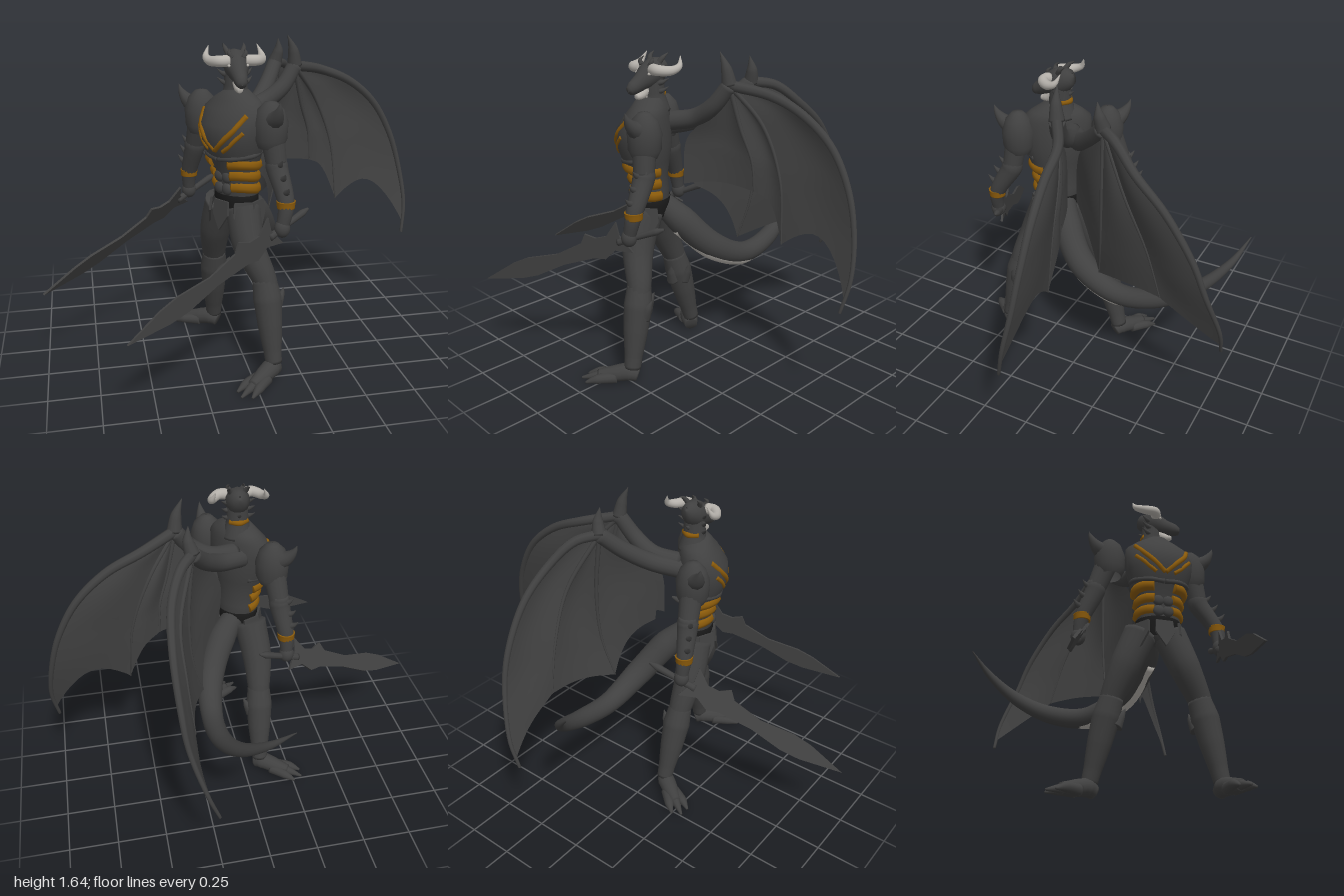
import * as THREE from 'three';

const mat = (name, color) => new THREE.MeshStandardMaterial({ name, color, side: THREE.DoubleSide });
const dark = mat('charcoal scale', 0x404040);
const black = mat('black cloth', 0x1c1c1c);
const gold = mat('dull gold', 0x8a5a0a);
const bone = mat('pale bone', 0xb4b0aa);
const V = (x, y, z) => new THREE.Vector3(x, y, z);

function add(parent, name, geo, m = dark) {
  const mesh = new THREE.Mesh(geo, m);
  mesh.name = name;
  parent.add(mesh);
  return mesh;
}

// Closed-ring skin over a list of cross-sections
function skin(rings, wrap = true) {
  const n = rings[0].length, pos = [], idx = [];
  rings.forEach(r => r.forEach(p => pos.push(p.x, p.y, p.z)));
  for (let i = 0; i < rings.length - 1; i++)
    for (let j = 0; j < (wrap ? n : n - 1); j++) {
      const a = i * n + j, b = i * n + (j + 1) % n;
      idx.push(a, b, b + n, a, b + n, a + n);
    }
  const g = new THREE.BufferGeometry();
  g.setAttribute('position', new THREE.Float32BufferAttribute(pos, 3));
  g.setIndex(idx);
  g.computeVertexNormals();
  return g;
}

// Tapered tube through [x, y, z, radius] points
function tube(pts, sides = 14, steps = pts.length * 6) {
  const c = new THREE.CatmullRomCurve3(pts.map(p => V(p[0], p[1], p[2])));
  const f = c.computeFrenetFrames(steps), rings = [];
  const ring = (i, k) => {
    const s = c.getUtoTmapping(i / steps) * (pts.length - 1);
    const q = Math.min(Math.floor(s), pts.length - 2);
    const r = k * THREE.MathUtils.lerp(pts[q][3], pts[q + 1][3], s - q), o = c.getPointAt(i / steps);
    return Array.from({ length: sides }, (_, j) => {
      const a = j / sides * Math.PI * 2;
      return o.clone().addScaledVector(f.normals[i], r * Math.cos(a)).addScaledVector(f.binormals[i], r * Math.sin(a));
    });
  };
  rings.push(ring(0, 0.01));
  for (let i = 0; i <= steps; i++) rings.push(ring(i, 1));
  rings.push(ring(steps, 0.01));
  return skin(rings);
}

// Elliptical section of a [y, rx, rz, oz] profile at height y and angle a from the front
function onProfile(prof, y, a, grow = 0) {
  let i = 0;
  while (i < prof.length - 2 && y > prof[i + 1][0]) i++;
  const t = (y - prof[i][0]) / (prof[i + 1][0] - prof[i][0]);
  const [rx, rz, oz] = [1, 2, 3].map(k => THREE.MathUtils.lerp(prof[i][k], prof[i + 1][k], t));
  return V((rx + grow) * Math.sin(a), y, oz + (rz + grow) * Math.cos(a));
}
function loft(prof, sides = 24) {
  return skin(prof.map(p => Array.from({ length: sides }, (_, j) => onProfile(prof, p[0], j / sides * Math.PI * 2))));
}

function ball(parent, name, p, s, m = dark) {
  const b = add(parent, name, new THREE.SphereGeometry(1, 18, 12), m);
  b.position.set(...p);
  b.scale.set(...s);
}

const TORSO = [
  [0.79, 0.002, 0.002, 0], [0.80, 0.08, 0.07, 0], [0.88, 0.118, 0.092, 0], [0.95, 0.118, 0.09, 0], [1.03, 0.122, 0.095, 0.01],
  [1.10, 0.15, 0.115, 0.02], [1.18, 0.175, 0.135, 0.03], [1.26, 0.185, 0.13, 0.03], [1.33, 0.175, 0.105, 0.01],
  [1.37, 0.13, 0.085, 0], [1.41, 0.06, 0.06, 0], [1.42, 0.002, 0.002, 0]];

function buildTorso() {
  const t = new THREE.Group();
  t.name = 'torso';
  t.position.set(-0.03, 0, 0.23);
  t.rotation.y = -0.98;
  add(t, 'torsoArmour', loft(TORSO));
  add(t, 'hipCloth', loft([[0.81, 0.092, 0.078, 0], [0.88, 0.122, 0.097, 0], [0.91, 0.121, 0.096, 0]]), black);
  const strip = (name, list, r, m) => add(t, name, tube(list.map(([a, y]) => {
    const p = onProfile(TORSO, y, a, -r * 0.4);
    return [p.x, p.y, p.z, r];
  }), 8), m);
  for (const s of [-1, 1]) {
    // Gold flank bands, reaching further back on the left side
    const end = s > 0 ? 2.5 : 1.85;
    for (const y of [0.943, 1.005, 1.067])
      strip('waistBand', [0, 0.25, 0.5, 0.75, 1].map(k => 0.38 + (end - 0.38) * k).map(a => [s * a, y + 0.01 * Math.sin(a * 2)]), 0.029, gold);
    // Chest inlay
    strip('chestInlay', [[s * 0.95, 1.315], [s * 0.65, 1.25], [s * 0.32, 1.19], [0, 1.14]], 0.014, gold);
    strip('chestInlay', [[s * 0.95, 1.24], [s * 0.7, 1.2], [s * 0.5, 1.165], [s * 0.3, 1.14]], 0.011, gold);
    for (const y of [0.94, 1.0, 1.06]) ball(t, 'abdomenPlate', [s * 0.025, y, 0.092], [0.03, 0.03, 0.018]);
    strip('chestLip', [[0, 1.095], [s * 0.6, 1.105], [s * 1.4, 1.12], [s * 2.2, 1.125]], 0.014, dark);
  }
  // Hip plates hanging from the belt
  const plate = new THREE.Shape([[-0.045, 0], [0.045, 0], [0.05, -0.07], [0, -0.15], [-0.05, -0.07]].map(p => new THREE.Vector2(...p)));
  const plateGeo = new THREE.ExtrudeGeometry(plate, { depth: 0.012, bevelEnabled: false });
  for (const a of [0, 0.95, 1.75, -0.95, -1.75]) {
    const p = add(t, 'hipPlate', plateGeo);
    p.position.copy(onProfile(TORSO, 0.88, a, 0.004));
    p.rotation.set(-0.12, a, 0, 'YXZ');
  }
  return t;
}

function buildHead() {
  const h = new THREE.Group();
  h.name = 'head';
  h.position.x = -0.03;
  add(h, 'neck', tube([[0, 1.34, 0.2, 0.08], [0, 1.42, 0.205, 0.058], [0, 1.52, 0.205, 0.052]]));
  add(h, 'throat', tube([[-0.01, 1.35, 0.25, 0.035], [0, 1.4, 0.25, 0.024], [0, 1.45, 0.25, 0.015]]), bone);
  const skull = add(h, 'skull', loft([[-0.085, 0.002, 0.002, 0], [-0.07, 0.035, 0.04, 0], [-0.02, 0.06, 0.066, 0], [0.04, 0.058, 0.06, 0],
    [0.09, 0.04, 0.043, 0.004], [0.145, 0.031, 0.033, 0.006], [0.168, 0.022, 0.022, 0.008], [0.174, 0.002, 0.002, 0.008]], 16));
  skull.position.set(0, 1.53, 0.205);
  skull.rotation.x = Math.PI / 2 + 0.42;
  add(h, 'jaw', tube([[0, 1.455, 0.24, 0.026], [0, 1.425, 0.285, 0.022], [0, 1.42, 0.315, 0.012]]), bone);
  add(h, 'napeBand', tube([[-0.045, 1.43, 0.18, 0.014], [0, 1.43, 0.155, 0.016], [0.045, 1.43, 0.18, 0.014]]), gold);
  for (const s of [-1, 1]) {
    const spike = (name, a, b, c, r) => add(h, name, tube([[s * a[0], a[1], a[2], r], [s * b[0], b[1], b[2], r * 0.7], [s * c[0], c[1], c[2], 0.001]], 8));
    add(h, 'horn', tube([[s * 0.04, 1.55, 0.245, 0.028], [s * 0.085, 1.55, 0.25, 0.027], [s * 0.125, 1.548, 0.205, 0.023],
      [s * 0.135, 1.565, 0.16, 0.016], [s * 0.118, 1.612, 0.135, 0.001]]), bone);
    ball(h, 'eye', [s * 0.044, 1.53, 0.268], [0.008, 0.007, 0.01], bone);
    spike('crownSpike', [0.03, 1.57, 0.2], [0.045, 1.6, 0.18], [0.05, 1.62, 0.15], 0.016);
    spike('browSpike', [0.03, 1.565, 0.25], [0.04, 1.585, 0.25], [0.035, 1.605, 0.23], 0.014);
    for (const y of [1.44, 1.48, 1.52]) spike('cheekSpike', [0.04, y, 0.21], [0.06, y + 0.005, 0.2], [0.085, y + 0.025, 0.18], 0.016);
  }
  for (const y of [1.46, 1.51, 1.56]) add(h, 'napeSpike', tube([[0, y, 0.18, 0.016], [0, y + 0.01, 0.15, 0.01], [0, y + 0.025, 0.13, 0.001]], 8));
  return h;
}

// Arm from shoulder, elbow, wrist and hand; out is the side its spikes point to
function buildArm(name, sh, el, wr, ha, out) {
  const g = new THREE.Group();
  g.name = name;
  const off = (p, k, dy) => [p[0] + out[0] * k, p[1] + dy, p[2] + out[1] * k];
  add(g, 'upperArm', tube([[...sh, 0.065], [...el, 0.05]]));
  add(g, 'forearm', tube([[el[0], el[1] + 0.04, el[2], 0.045], [...el, 0.055], [...wr, 0.04], [...ha, 0.03]]));
  add(g, 'wristBand', tube([[wr[0], wr[1] + 0.015, wr[2], 0.046], [wr[0], wr[1] - 0.02, wr[2], 0.042]]), gold);
  ball(g, 'fist', ha, [0.038, 0.045, 0.038]);
  add(g, 'shoulderPlate', loft([[-0.12, 0.06, 0.06, 0], [-0.08, 0.08, 0.08, 0], [0, 0.085, 0.082, 0], [0.06, 0.065, 0.062, 0], [0.095, 0.03, 0.03, 0], [0.1, 0.002, 0.002, 0]], 18)).position.set(...sh);
  add(g, 'shoulderSpike', tube([[...off(sh, 0.03, 0.01), 0.055], [...off(sh, 0.085, 0.04), 0.035], [...off(sh, 0.12, 0.08), 0.016], [...off(sh, 0.135, 0.115), 0.001]], 10));
  for (const k of [0, 0.35, 0.7]) {
    const p = el.map((v, i) => v + (wr[i] - v) * k);
    add(g, 'forearmSpike', tube([[...off(p, 0.02, 0), 0.024], [...off(p, 0.055, 0.015), 0.013], [...off(p, 0.08, 0.04), 0.001]], 8));
  }
  return g;
}

// Leg from hip, mid-thigh, knee and ankle to toe tip
function buildLeg(name, hip, mid, knee, ankle, toe) {
  const g = new THREE.Group();
  g.name = name;
  const mix = (a, b, t) => a.map((v, i) => v + (b[i] - v) * t);
  add(g, 'thigh', tube([[...hip, 0.088], [...mid, 0.08], [...knee, 0.058], [...mix(knee, ankle, 0.3), 0.055]]));
  add(g, 'shinGuard', tube([[...mix(mid, knee, 0.88), 0.06], [...mix(knee, ankle, 0.2), 0.072], [...mix(knee, ankle, 0.55), 0.062], [...mix(knee, ankle, 0.88), 0.046], [...mix(knee, ankle, 1.05), 0.042]]));
  const d = V(toe[0] - ankle[0], 0, toe[2] - ankle[2]).normalize();
  const at = (k, side, y, r, o = ankle) => [o[0] + d.x * k + d.z * side, y, o[2] + d.z * k - d.x * side, r];
  const calf = mix(knee, ankle, 0.15);
  for (const s of [-1, 1]) add(g, 'calfSpike', tube([at(-0.03, s * 0.03, knee[1] - 0.13, 0.035, calf), at(-0.055, s * 0.045, knee[1] - 0.07, 0.02, calf), at(-0.075, s * 0.05, knee[1] - 0.03, 0.001, calf)], 8));
  const len = Math.hypot(toe[0] - ankle[0], toe[2] - ankle[2]);
  add(g, 'foot', tube([at(-0.025, 0, 0.04, 0.036), at(0.015, 0, 0.055, 0.047), at(0.08, 0, 0.045, 0.043), at(len * 0.65, 0, 0.03, 0.028)]));
  for (const s of [-1, 0, 1]) add(g, 'toe', tube([at(len * 0.3, s * 0.02, 0.032, 0.03), at(len * 0.65, s * 0.038, 0.027, 0.024), at(len * (0.97 - 0.1 * Math.abs(s)), s * 0.045, 0.01, 0.006)], 10));
  return g;
}

// Sword from pommel to tip; the blade width follows the up vector
const BLADE = [[0.22, -0.02], [0.2, -0.07], [0.29, -0.035], [0.36, -0.065], [0.42, -0.045], [0.6, -0.037], [0.78, -0.055], [0.88, -0.048], [1.1, 0],
  [0.9, 0.042], [0.8, 0.048], [0.62, 0.025], [0.46, 0.045], [0.42, 0.085], [0.37, 0.05], [0.31, 0.045], [0.23, 0.1], [0.24, 0.03]];
function buildSword(name, from, to, up) {
  const g = new THREE.Group();
  g.name = name;
  const x = V(...to).sub(V(...from)), k = x.length() / 1.1;
  x.normalize();
  const z = x.clone().cross(V(...up)).normalize();
  g.quaternion.setFromRotationMatrix(new THREE.Matrix4().makeBasis(x, z.clone().cross(x), z));
  g.position.set(...from);
  g.scale.setScalar(k);
  const geo = new THREE.ExtrudeGeometry(new THREE.Shape(BLADE.map(p => new THREE.Vector2(...p))), { depth: 0.012, bevelEnabled: false });
  add(g, 'blade', geo.translate(0, 0, -0.006));
  add(g, 'grip', tube([[0, 0, 0, 0.006], [0.04, 0, 0, 0.018], [0.15, 0, 0, 0.015], [0.26, 0, 0, 0.02]], 8));
  return g;
}

// Wing: fingers fan from the wrist, with scalloped skin between them
function buildWing(name, arm, hook, fingers, scallops, billow) {
  const g = new THREE.Group();
  g.name = name;
  const wrist = arm[arm.length - 1];
  add(g, 'wingArm', tube(arm));
  add(g, 'wristHook', tube([wrist, [(wrist[0] + hook[0]) / 2 + 0.01, (wrist[1] + hook[1]) / 2, (wrist[2] + hook[2]) / 2, 0.026], [...hook, 0.001]], 10));
  const curves = fingers.map(f => new THREE.CatmullRomCurve3([wrist, ...f].map(p => V(p[0], p[1], p[2]))));
  fingers.slice(0, -1).forEach((f, i) => add(g, 'wingFinger', tube([wrist, ...f].map((p, j, l) => [p[0], p[1], p[2], Math.max(0.003, (i ? 0.013 : 0.027) * (1 - 0.7 * j / (l.length - 1)))]), 8)));
  scallops.forEach((sc, i) => {
    const rows = [];
    for (let a = 0; a <= 12; a++) {
      const s = a / 12, bow = Math.sin(Math.PI * s), row = [];
      for (let j = 0; j <= 20; j++) {
        const t = j / 20, end = 1 - sc * bow;
        const p = curves[i].getPoint(t * end * (i ? 1 : 0.95 + 0.05 * s)).lerp(curves[i + 1].getPoint(t * end), s);
        row.push(p.addScaledVector(billow, bow * Math.sin(Math.PI * Math.min(t, 0.7))));
      }
      rows.push(row);
    }
    add(g, 'wingSkin', skin(rows, false));
  });
  return g;
}

export function createModel() {
  const m = new THREE.Group();
  m.name = 'hornedDragonWarrior';
  m.add(buildTorso(), buildHead());
  m.add(buildArm('leftArm', [0.1, 1.28, 0.38], [0.125, 1.08, 0.41], [0.15, 0.915, 0.5], [0.13, 0.8, 0.515], [0.1, 0.95]));
  m.add(buildArm('rightArm', [-0.165, 1.28, 0.01], [-0.19, 1.08, -0.06], [-0.215, 0.915, -0.12], [-0.215, 0.81, -0.14], [-0.75, -0.6]));
  m.add(buildLeg('leftLeg', [-0.01, 0.84, 0.285], [0.008, 0.66, 0.355], [0.08, 0.48, 0.415], [0.105, 0.1, 0.49], [-0.1, 0, 0.67]));
  m.add(buildLeg('rightLeg', [-0.085, 0.84, 0.15], [-0.11, 0.66, 0.075], [-0.105, 0.48, -0.005], [-0.09, 0.1, -0.11], [-0.31, 0, -0.25]));
  m.add(buildSword('leftSword', [0.28, 0.86, 0.43], [-0.63, 0.45, 0.85], [0, 1, 0]));
  m.add(buildSword('rightSword', [-0.06, 0.87, -0.2], [-1, 0.4, 0.16], [-0.14, 0.77, 0.63]));

  // Wings spread from the shoulder blades
  m.add(buildWing('leftWing',
    [[0.0, 1.28, 0.13, 0.05], [0.13, 1.31, 0.075, 0.046], [0.235, 1.38, 0.06, 0.042], [0.31, 1.485, 0.03, 0.038]], [0.265, 1.64, 0.05],
    [[[0.48, 1.445, -0.07], [0.65, 1.375, -0.1], [0.8, 1.25, -0.12], [0.905, 1.07, -0.12], [0.965, 0.87, -0.1], [0.99, 0.68, -0.06], [0.97, 0.52, -0.02]],
      [[0.45, 1.3, -0.055], [0.55, 1.05, -0.075], [0.585, 0.735, -0.06]],
      [[0.36, 1.28, 0.0], [0.41, 1.12, -0.03], [0.42, 0.97, -0.04]],
      [[0.2, 1.32, 0.07], [0.1, 1.2, 0.105], [0.09, 0.97, 0.115]]],
    [0.17, 0.1, 0.04], V(0, 0, -0.025)));
  m.add(buildWing('rightWing',
    [[-0.04, 1.25, 0.13, 0.05], [0.1, 1.29, 0.03, 0.046], [0.19, 1.37, -0.08, 0.042], [0.26, 1.47, -0.18, 0.038]], [0.27, 1.6, -0.155],
    [[[0.33, 1.45, -0.28], [0.39, 1.355, -0.4], [0.415, 1.215, -0.56], [0.41, 1.0, -0.7], [0.39, 0.82, -0.765], [0.32, 0.58, -0.83], [0.27, 0.44, -0.83]],
      [[0.35, 1.2, -0.34], [0.345, 0.95, -0.45], [0.325, 0.69, -0.52]],
      [[0.29, 1.15, -0.19], [0.28, 0.88, -0.18], [0.225, 0.65, -0.145]],
      [[0.16, 1.3, -0.02], [0.09, 1.15, 0.05], [0.1, 0.95, 0.05]]],
    [0.03, 0.03, 0.1], V(0.02, 0, 0)));

  // Tail sweeping behind, with a pale underside
  const tail = [[-0.04, 0.9, 0.2, 0.05], [0.075, 0.775, 0.12, 0.075], [0.165, 0.62, -0.02, 0.07], [0.195, 0.53, -0.23, 0.056], [0.185, 0.56, -0.44, 0.049],
    [0.13, 0.655, -0.63, 0.036], [0.03, 0.78, -0.76, 0.02], [-0.08, 0.89, -0.82, 0.002]];
  add(m, 'tail', tube(tail, 18));
  add(m, 'tailUnderside', tube(tail.slice(1, 5).map((p, i) => [p[0] + 0.004, p[1] - 0.022, p[2] + 0.01 - i * 0.004, p[3] * (i === 3 ? 0.3 : 0.75)])), bone);
  return m;
}
